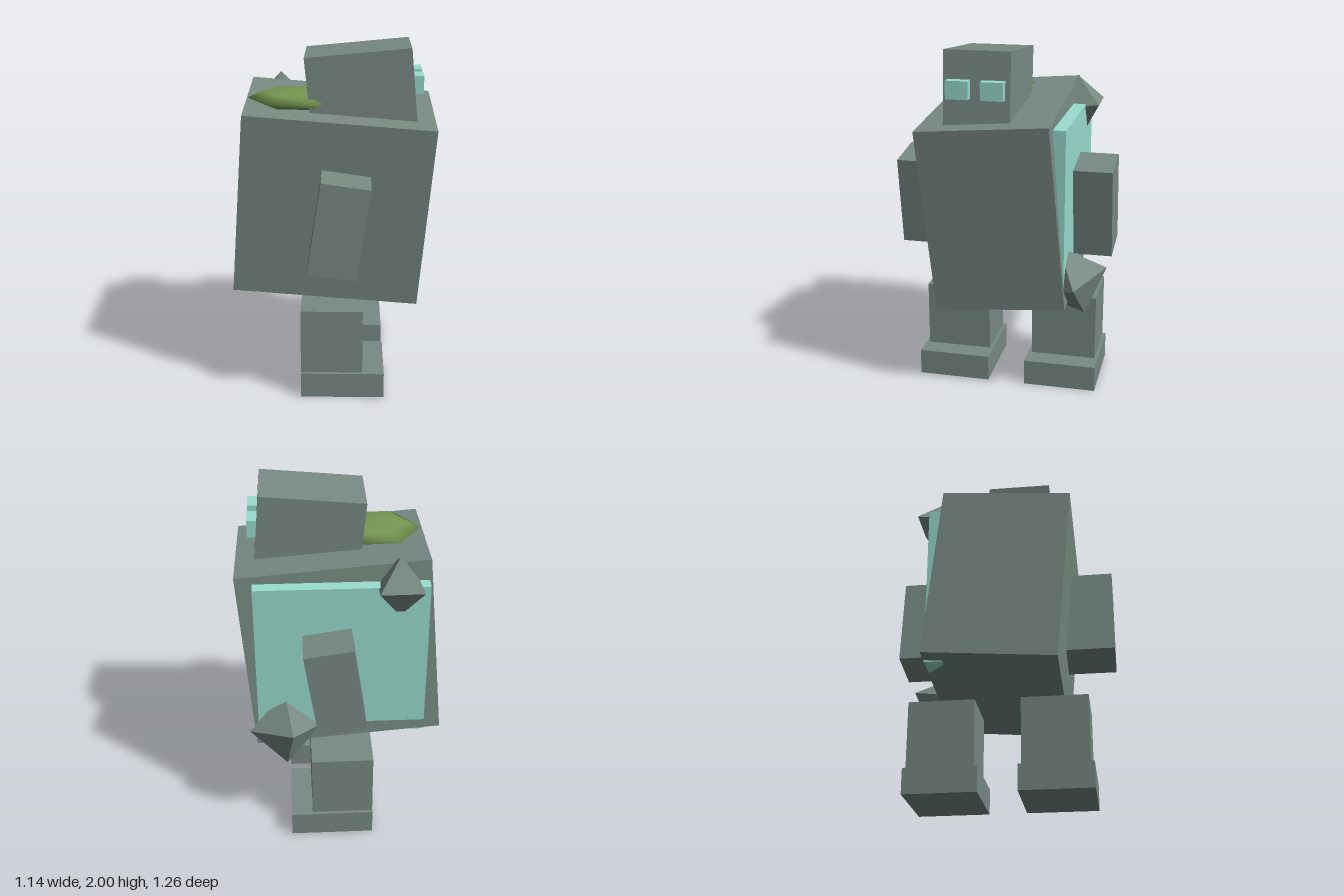
import * as THREE from 'three';

const stone = new THREE.MeshStandardMaterial({ color: 0x788a83, flatShading: true });
const teal = new THREE.MeshStandardMaterial({ color: 0x99ddcf, flatShading: true });
const moss = new THREE.MeshStandardMaterial({ color: 0x769752 });

export function createModel() {
  const group = new THREE.Group();

  const add = (name, geometry, material, position, rotation = [0, 0, 0]) => {
    const mesh = new THREE.Mesh(geometry, material);
    mesh.name = name;
    mesh.position.set(...position);
    mesh.rotation.set(...rotation);
    group.add(mesh);
    return mesh;
  };
  const box = (name, material, size, position, rotation) =>
    add(name, new THREE.BoxGeometry(...size), material, position, rotation);

  // Octahedral crystal aimed by two of its perpendicular corner directions
  const crystal = (name, radius, position, a, b) => {
    const x = new THREE.Vector3(...a).normalize();
    const z = x.clone().cross(new THREE.Vector3(...b)).normalize();
    const y = z.clone().cross(x);
    add(name, new THREE.OctahedronGeometry(radius), stone, position)
      .quaternion.setFromRotationMatrix(new THREE.Matrix4().makeBasis(x, y, z));
  };

  // Leaning body block
  box('body', stone, [1.063, 1.061, 0.742], [0, 1.12, 0], [0.08, 0, -0.08]);

  // Head and eyes, looking along +x
  box('head', stone, [0.588, 0.42, 0.37], [0.157, 1.763, 0.085], [0, 0, 0.094]);
  for (const z of [0.183, -0.009]) box('eye', teal, [0.06, 0.1, 0.125], [0.47, 1.795, z]);

  // Arms on both sides of the body
  for (const side of [1, -1]) {
    box('arm', stone, [0.273, 0.526, 0.3], [0.04, 1.07, side * 0.478], [0, 0, -0.145]);
  }

  // Legs with feet that reach forward
  for (const z of [0.28, -0.36]) {
    box('leg', stone, [0.355, 0.45, 0.38], [-0.002, 0.31, z]);
    box('foot', stone, [0.48, 0.15, 0.42], [0.06, 0.075, z]);
  }

  // Upright panel sunk into the -z side
  box('sidePanel', teal, [0.955, 0.955, 0.1], [-0.003, 1.1225, -0.355]);

  // Crystals growing from the panel corners
  crystal('upperCrystal', 0.17, [-0.32, 1.583, -0.363], [0, 0.168, 0.023], [-0.12, 0.017, -0.117]);
  crystal('lowerCrystal', 0.21, [0.318, 0.699, -0.427], [-0.043, 0.076, -0.193], [0.207, 0.011, -0.038]);

  // Flattened moss mound behind the head
  add('mossMound', new THREE.SphereGeometry(1, 6, 4), moss, [-0.21, 1.692, 0.115])
    .scale.set(0.27, 0.053, 0.22);

  return group;
}
